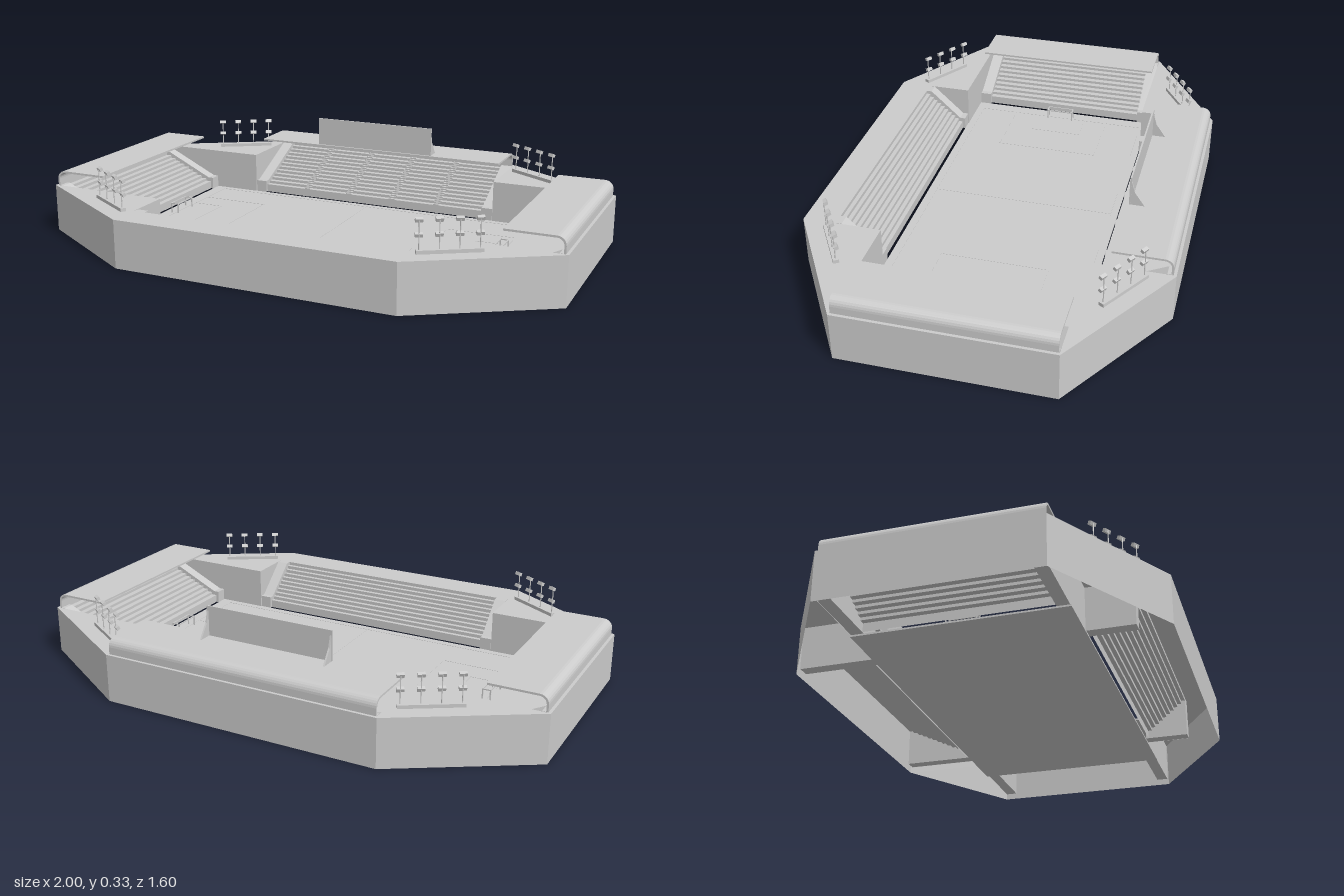
import * as THREE from 'three';

const mat = new THREE.MeshStandardMaterial({ color: 0xcccccc, side: THREE.DoubleSide, flatShading: true });
const FLOOR = 0.02, RIM = 0.171, ROOF = 0.226;

function add(parent, name, geo, x = 0, y = 0, z = 0) {
  const m = new THREE.Mesh(geo, mat);
  m.name = name;
  m.position.set(x, y, z);
  parent.add(m);
  return m;
}

const box = (w, h, d) => new THREE.BoxGeometry(w, h, d);

// Open vertical walls along a plan path of [x, z] points
function walls(path, y0, y1) {
  const pos = [];
  for (let i = 0; i < path.length - 1; i++) {
    const [ax, az] = path[i], [bx, bz] = path[i + 1];
    pos.push(ax, y0, az, ax, y1, az, bx, y1, bz, ax, y0, az, bx, y1, bz, bx, y0, bz);
  }
  return finish(pos);
}

// Sheet sweeping a [z, y] profile along x from -half to half
function sheet(profile, half) {
  const pos = [];
  for (let i = 0; i < profile.length - 1; i++) {
    const [az, ay] = profile[i], [bz, by] = profile[i + 1];
    pos.push(-half, ay, az, half, ay, az, half, by, bz, -half, ay, az, half, by, bz, -half, by, bz);
  }
  return finish(pos);
}

function finish(pos) {
  const g = new THREE.BufferGeometry();
  g.setAttribute('position', new THREE.Float32BufferAttribute(pos, 3));
  g.computeVertexNormals();
  return g;
}

// Solid with a [z, y] outline, centred along x
function prism(outline, width) {
  const g = new THREE.ExtrudeGeometry(new THREE.Shape(outline.map(p => new THREE.Vector2(...p))),
    { depth: width, bevelEnabled: false });
  return g.translate(0, 0, -width / 2).rotateY(-Math.PI / 2);
}

function stepProfile(inner, outer, n, lift = 0) {
  const y0 = 0.05, pts = [[inner, FLOOR], [inner, y0 + lift]];
  for (let i = 1; i <= n; i++) {
    const z = inner + (outer - inner) * i / n;
    pts.push([z, y0 + (RIM - y0) * (i - 1) / n + lift], [z, y0 + (RIM - y0) * i / n + lift]);
  }
  return pts;
}

// A bank of terraces facing -z, optionally roofed
function stand(name, { inner, outer, half, roof, aisles = 0, turn }) {
  const g = new THREE.Group();
  g.name = name;
  g.rotation.y = turn;
  const n = roof ? 12 : 10, seatHalf = half - 0.045;
  add(g, 'terraceSteps', sheet(stepProfile(inner + 0.01, outer, n), seatHalf));
  for (let i = 0; i < aisles; i++) {
    const x = -seatHalf + 2 * seatHalf * (i + 1) / (aisles + 1);
    add(g, 'aisle', sheet(stepProfile(inner + 0.008, outer, n * 2, 0.004), 0.012), x);
  }
  for (const s of [-1, 1]) {
    add(g, 'sideWall', prism([[inner, FLOOR], [outer, FLOOR], [outer, RIM], [outer - 0.02, RIM],
      [inner + 0.02, 0.065], [inner, 0.065]], 0.042), s * (half - 0.023));
  }
  if (roof) {
    // Curved shell: back wall, rounded shoulder, flat canopy
    const t = 0.007, r = 0.03, out = [[outer, RIM]], under = [[outer - t, RIM]];
    for (let i = 0; i <= 6; i++) {
      const a = i / 6 * Math.PI / 2, c = Math.cos(a), s = Math.sin(a);
      out.push([outer - r + r * c, ROOF - r + r * s]);
      under.push([outer - r + (r - t) * c, ROOF - r + (r - t) * s]);
    }
    out.push([inner + 0.062, ROOF]);
    under.push([inner + 0.062, ROOF - t]);
    add(g, 'roof', prism([...out, ...under.reverse()], 2 * half - 0.005));
  }
  return g;
}

// Floodlight rig: four poles with two rows of lamps
function floodlights() {
  const g = new THREE.Group();
  g.name = 'floodlights';
  add(g, 'base', box(0.21, 0.012, 0.02), 0, RIM + 0.006, 0);
  for (let i = 0; i < 4; i++) {
    const x = -0.095 + i * 0.0633;
    add(g, 'pole', new THREE.CylinderGeometry(0.002, 0.002, 0.105, 6), x, RIM + 0.053, 0);
    for (const y of [0.229, 0.276]) {
      add(g, 'lamp', box(0.024, 0.012, 0.012), x, y, -0.005).rotation.x = 0.4;
    }
  }
  return g;
}

function goal() {
  const g = new THREE.Group();
  g.name = 'goal';
  const h = 0.036, w = 0.1, d = 0.028, t = 0.004;
  for (const s of [-1, 1]) {
    add(g, 'post', box(t, h, t), 0, h / 2, s * w / 2);
    add(g, 'topRail', box(d, t, t), d / 2, h, s * w / 2);
    add(g, 'rearPost', box(t, h, t), d, h / 2, s * w / 2);
  }
  for (const x of [0, d]) add(g, 'crossbar', box(t, t, w + t), x, h, 0);
  return g;
}

export function createModel() {
  const model = new THREE.Group();
  model.name = 'stadium';
  const arena = new THREE.Group();
  arena.name = 'arena';
  arena.rotation.y = -Math.PI / 6;
  model.add(arena);

  // Outer shell and rim deck, open inside
  const octagon = [[0.95, 0.357], [0.504, 0.63], [-0.504, 0.63], [-0.95, 0.357],
    [-0.95, -0.357], [-0.504, -0.63], [0.504, -0.63], [0.95, -0.357]];
  add(arena, 'outerWall', walls([...octagon, octagon[0]], 0, RIM));
  const vec = p => new THREE.Vector2(...p);
  const deck = new THREE.Shape(octagon.map(vec));
  deck.holes.push(new THREE.Path([[0.94, 0.355], [0.5, 0.355], [0.5, 0.515], [-0.5, 0.515],
    [-0.5, 0.355], [-0.94, 0.355], [-0.94, -0.355], [-0.5, -0.355], [-0.5, -0.62],
    [0.5, -0.62], [0.5, -0.355], [0.94, -0.355]].map(vec)));
  add(arena, 'rimDeck', new THREE.ShapeGeometry(deck).rotateX(Math.PI / 2), 0, RIM, 0);

  // Inner corner walls and floodlights
  for (const sx of [-1, 1]) for (const sz of [-1, 1]) {
    const back = sz > 0 ? 0.515 : 0.62;
    add(arena, 'cornerWall', walls([[sx * 0.94, sz * 0.355], [sx * 0.5, sz * 0.355],
      [sx * 0.5, sz * back]], FLOOR, RIM));
    const rig = floodlights();
    rig.position.set(sx * 0.616, 0, sz * 0.483);
    rig.rotation.y = Math.atan2(sx * 0.522, sz * 0.853);
    arena.add(rig);
  }

  // Stands on the four sides
  arena.add(stand('openStand', { inner: 0.357, outer: 0.515, half: 0.5, roof: false, turn: 0 }));
  arena.add(stand('mainStand', { inner: 0.357, outer: 0.62, half: 0.5, roof: true, aisles: 4, turn: Math.PI }));
  for (const s of [-1, 1]) {
    arena.add(stand('endStand', { inner: 0.68, outer: 0.94, half: 0.355, roof: true, turn: s * Math.PI / 2 }));
  }

  // Billboard with end braces on the main stand roof
  add(arena, 'billboard', box(0.475, 0.108, 0.006), -0.012, ROOF + 0.052, -0.43);
  for (const x of [-0.245, 0.221]) {
    add(arena, 'billboardBrace', prism([[-0.43, ROOF], [-0.43, 0.325], [-0.445, 0.275], [-0.48, ROOF]], 0.006), x);
  }

  // Pitch, markings and goals
  add(arena, 'pitch', box(1.36, 0.006, 0.714), 0, FLOOR - 0.003, 0);
  const line = (x0, z0, x1, z1) => add(arena, 'pitchLine',
    box(Math.abs(x1 - x0) + 0.004, 0.002, Math.abs(z1 - z0) + 0.004), (x0 + x1) / 2, FLOOR, (z0 + z1) / 2);
  line(0, -0.33, 0, 0.33);
  for (const s of [-1, 1]) {
    line(-0.635, s * 0.33, 0.635, s * 0.33);
    line(s * 0.635, -0.33, s * 0.635, 0.33);
    for (const [x, z] of [[0.38, 0.19], [0.52, 0.1]]) {
      line(s * x, -z, s * x, z);
      for (const t of [-z, z]) line(s * x, t, s * 0.635, t);
    }
    const net = goal();
    net.position.set(s * 0.622, FLOOR, 0);
    net.rotation.y = s > 0 ? 0 : Math.PI;
    arena.add(net);
  }
  return model;
}
